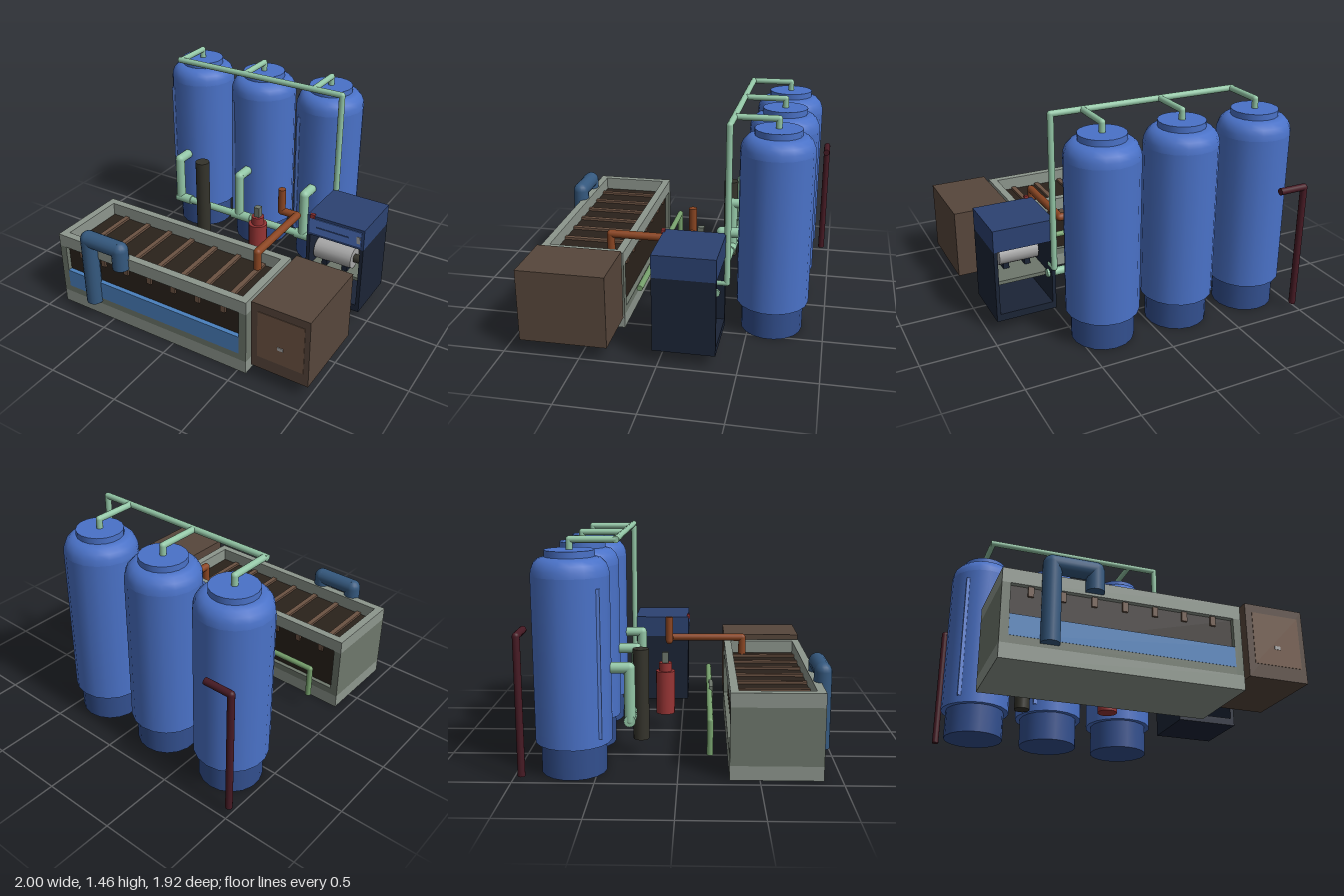
import * as THREE from 'three';
import { mergeGeometries } from 'three/addons/utils/BufferGeometryUtils.js';

const mat = (color, side = THREE.FrontSide) => new THREE.MeshStandardMaterial({ color, side });
const M = {
  tank: mat(0x4a72c8), skirt: mat(0x324f8e), gauge: mat(0x5a82d8),
  mint: mat(0x93c6a6), green: mat(0x76a06c), concrete: mat(0x8d968d), wall: mat(0x6e776c),
  dark: mat(0x2a221b), slat: mat(0x6b5242), water: mat(0x4a80bd), bluePipe: mat(0x35597f),
  brown: mat(0x57463b), door: mat(0x6f5544), steel: mat(0xa8a8a8), navy: mat(0x2c4272),
  black: mat(0x1b2436), panel: mat(0x4f74c4), red: mat(0x963434), copper: mat(0x8a4522),
  pole: mat(0x34332b), maroon: mat(0x471a24),
};

export function createModel() {
  const root = new THREE.Group();

  const add = (name, geo, material) => {
    const mesh = new THREE.Mesh(geo, material);
    mesh.name = name;
    root.add(mesh);
    return mesh;
  };
  // Box given by its extents on each axis
  const box = (name, x0, x1, y0, y1, z0, z1, material) =>
    add(name, new THREE.BoxGeometry(x1 - x0, y1 - y0, z1 - z0), material)
      .position.set((x0 + x1) / 2, (y0 + y1) / 2, (z0 + z1) / 2);
  // Upright cylinder given by base and top
  const post = (name, x, z, r, y0, y1, material, sides = 18) =>
    add(name, new THREE.CylinderGeometry(r, r, y1 - y0, sides), material)
      .position.set(x, (y0 + y1) / 2, z);
  // Pipe run: straight lengths with round elbows
  const pipe = (name, r, pts, material) => {
    const v = pts.map(p => new THREE.Vector3(...p));
    const parts = [];
    for (let i = 0; i < v.length - 1; i++) {
      const d = v[i + 1].clone().sub(v[i]);
      const q = new THREE.Quaternion().setFromUnitVectors(new THREE.Vector3(0, 1, 0), d.clone().normalize());
      const mid = v[i].clone().add(v[i + 1]).multiplyScalar(0.5);
      parts.push(new THREE.CylinderGeometry(r, r, d.length(), 16).applyQuaternion(q).translate(mid.x, mid.y, mid.z));
      if (i > 0) parts.push(new THREE.SphereGeometry(r, 16, 10).translate(v[i].x, v[i].y, v[i].z));
    }
    return add(name, mergeGeometries(parts), material);
  };

  // Three filter tanks with their pipe connections
  const shoulder = [[0.24, 1.23], [0.236, 1.265], [0.222, 1.3], [0.195, 1.328], [0.155, 1.34], [0, 1.34]]
    .map(p => new THREE.Vector2(...p));
  for (const x of [-0.757, -0.215, 0.33]) {
    const z = -0.65;
    post('tankSkirt', x, z, 0.205, 0, 0.21, M.skirt);
    post('tankBody', x, z, 0.24, 0.2, 1.23, M.tank);
    add('tankShoulder', new THREE.LatheGeometry(shoulder, 18), M.tank).position.set(x, 0, z);
    post('tankCap', x, z, 0.153, 1.33, 1.38, M.tank);
    box('sightGauge', x - 0.162, x - 0.138, 0.25, 1.165, -0.475, -0.455, M.gauge);
    pipe('topBranch', 0.021, [[x, 1.37, z], [x, 1.44, z], [x, 1.44, -0.37]], M.mint);
    pipe('tankOutlet', 0.035, [[x, 0.655, -0.44], [x, 0.655, -0.3], [x, 0.32, -0.3], [x + 0.02, 0.32, -0.3]], M.mint);
    const x0 = x < -0.5 ? x - 0.03 : x - 0.06;
    pipe('manifoldTee', 0.037, [[x0, 0.32, -0.3], [x + 0.1, 0.32, -0.3]], M.mint);
  }
  pipe('topHeader', 0.021,
    [[-0.775, 1.44, -0.37], [0.543, 1.44, -0.37], [0.543, 0.39, -0.37], [0.543, 0.39, -0.3]], M.mint);
  pipe('manifold', 0.028, [[-0.757, 0.32, -0.3], [0.57, 0.32, -0.3]], M.mint);

  // Concrete basin
  const [bx0, bx1, bz0, bz1, t] = [-0.932, 0.562, 0.315, 0.887, 0.052];
  box('basinBase', bx0, bx1, 0, 0.092, bz0, bz1, M.concrete);
  for (const x of [bx0, bx1 - t]) box('basinEndWall', x, x + t, 0.092, 0.46, bz0, bz1, M.wall);
  for (const z of [bz0, bz1 - t]) {
    box('basinSill', bx0 + t, bx1 - t, 0.092, 0.14, z, z + t, M.wall);
    box('basinRim', bx0, bx1, 0.46, 0.55, z, z + t, M.concrete);
  }
  for (const x of [bx0, bx1 - t])
    box('basinRimEnd', x, x + t, 0.46, 0.55, bz0 + t, bz1 - t, M.concrete);
  box('basinInterior', bx0 + t, bx1 - t, 0.09, 0.458, bz0 + 0.03, bz1 - 0.03, M.dark);
  box('waterBand', bx0 + t, bx1 - t, 0.14, 0.27, bz1 - 0.032, bz1 + 0.002, M.water);
  for (let i = 0; i < 7; i++) {
    const x = -0.758 + i * 0.19;
    box('basinSlat', x - 0.017, x + 0.017, 0.4, 0.475, bz0 + 0.015, bz1 - 0.015, M.slat);
  }

  // Siphon pipe over the front wall
  pipe('siphonPipe', 0.057,
    [[-0.647, 0.115, 0.9], [-0.647, 0.613, 0.9], [-0.387, 0.613, 0.9], [-0.387, 0.475, 0.9]], M.bluePipe);

  // Brown control cabinet
  box('controlCabinet', 0.6, 1, 0.095, 0.58, 0.315, 0.888, M.brown);
  box('cabinetDoor', 0.645, 0.965, 0.185, 0.525, 0.88, 0.891, M.door);
  box('doorHandle', 0.785, 0.825, 0.293, 0.315, 0.885, 0.895, M.steel);

  // Blower housing, open front and rear
  const [hx0, hx1, hz0, hz1] = [0.53, 0.945, -0.36, 0.04];
  box('housingTop', hx0, hx1, 0.58, 0.73, hz0, hz1, M.navy);
  box('housingFloor', hx0, hx1, 0.08, 0.13, hz0, hz1, M.black);
  for (const x of [hx0, hx1 - 0.025])
    box('housingSide', x, x + 0.025, 0.13, 0.58, hz0, hz1, M.black);
  box('housingPanel', 0.55, 0.925, 0.6, 0.71, 0.03, 0.045, M.panel);
  box('panelSlot', 0.6, 0.84, 0.645, 0.655, 0.04, 0.047, M.navy);
  box('panelDisplay', 0.895, 0.92, 0.625, 0.675, 0.04, 0.048, M.steel);
  box('alarmLight', 0.555, 0.585, 0.715, 0.745, 0.03, 0.052, M.red);
  pipe('blowerMotor', 0.075, [[0.565, 0.42, -0.08], [0.84, 0.42, -0.08]], M.steel);
  pipe('motorShaft', 0.03, [[0.82, 0.42, -0.08], [0.93, 0.42, -0.08]], M.pole);
  box('motorShelf', hx0 + 0.025, hx1 - 0.025, 0.3, 0.325, -0.28, 0.0, M.wall);
  for (const x of [0.62, 0.77]) box('motorMount', x, x + 0.04, 0.32, 0.37, -0.13, -0.03, M.black);

  // Copper feed pipe into the basin
  pipe('feedPipe', 0.027,
    [[0.26, 0.78, -0.095], [0.26, 0.605, -0.095], [0.382, 0.605, -0.095], [0.382, 0.605, 0.445], [0.382, 0.48, 0.445]],
    M.copper);

  // Submersible pump and standpipe
  post('pumpBody', 0.055, -0.115, 0.067, 0.12, 0.43, M.red);
  post('pumpNeck', 0.055, -0.115, 0.045, 0.43, 0.49, M.red);
  box('pumpTerminal', 0.033, 0.077, 0.49, 0.565, -0.137, -0.093, M.wall);
  post('standpipe', -0.512, -0.248, 0.052, 0.12, 0.72, M.pole);

  // Drain line behind the basin
  pipe('drainLine', 0.02, [[0.603, 0.325, 0.197], [-0.772, 0.325, 0.197], [-0.772, 0.105, 0.197]], M.green);
  box('flowMeter', -0.13, 0.05, 0.27, 0.365, 0.195, 0.223, M.wall);

  // Overflow pipe behind the tanks
  pipe('overflowPipe', 0.023, [[-0.79, 0.897, -0.94], [-0.977, 0.897, -0.94], [-0.977, 0.035, -0.94]], M.maroon);

  return root;
}
